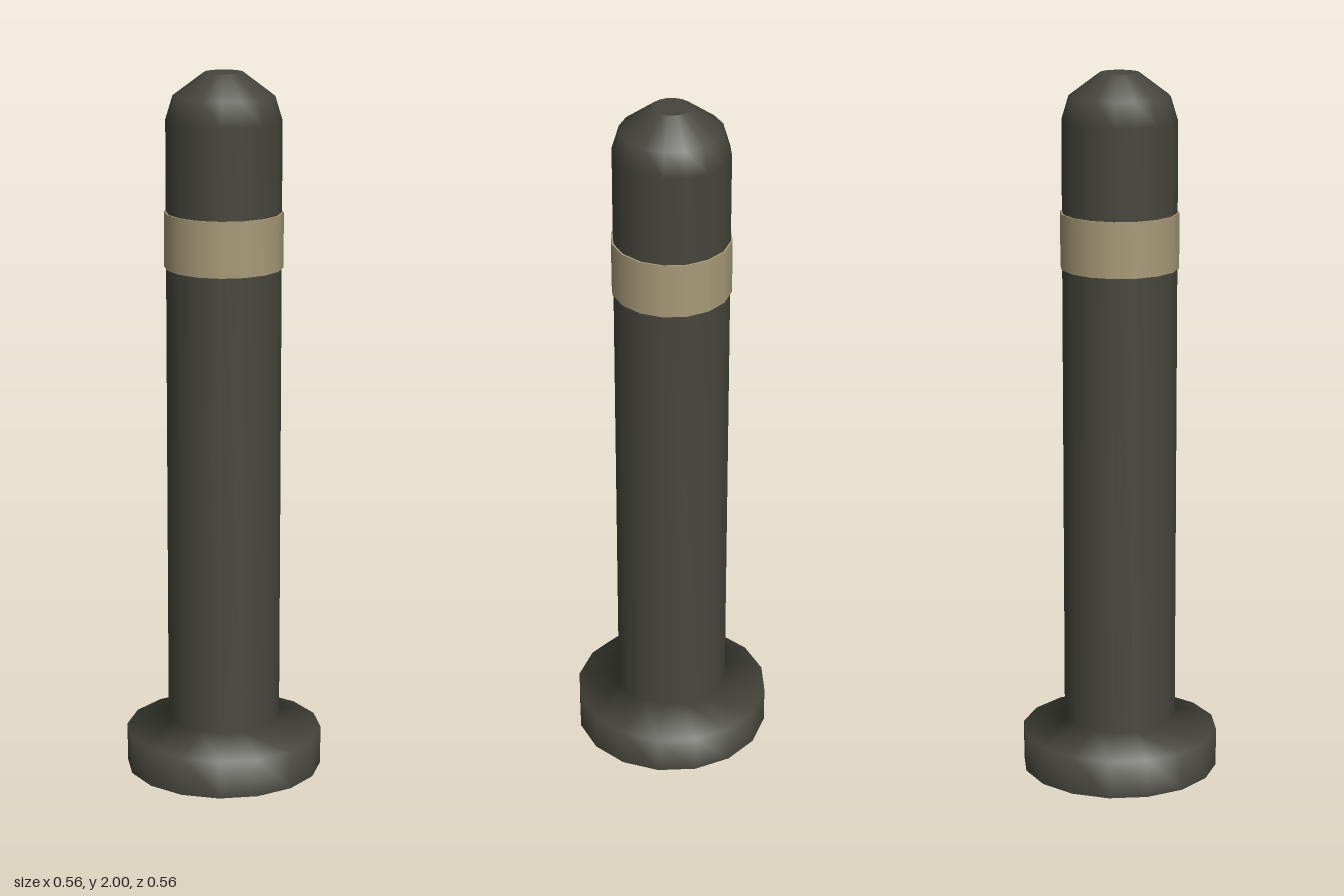
import * as THREE from 'three';

const SIDES = 16;

export function createModel() {
  const model = new THREE.Group();
  model.name = 'bollard';

  const darkMetal = new THREE.MeshStandardMaterial({ color: 0x45453c });
  darkMetal.name = 'dark metal';
  const tanBand = new THREE.MeshStandardMaterial({ color: 0xa89a78 });
  tanBand.name = 'tan band';

  const add = (name, geometry, material, y = 0) => {
    const mesh = new THREE.Mesh(geometry, material);
    mesh.name = name;
    mesh.position.y = y;
    model.add(mesh);
    return mesh;
  };

  // Foot flange, post and rounded head in one smooth turned profile
  const profile = [
    [0.28, 0], [0.28, 0.11], [0.16, 0.15],
    [0.16, 1.87], [0.14, 1.936], [0.054, 2],
  ].map(([r, y]) => new THREE.Vector2(r, y));
  add('post', new THREE.LatheGeometry(profile, SIDES), darkMetal);

  // Flat faces closing the head and the foot
  add('headCap', new THREE.CircleGeometry(0.054, SIDES).rotateX(-Math.PI / 2), darkMetal, 2);
  add('footUnderside', new THREE.CircleGeometry(0.28, SIDES).rotateX(Math.PI / 2), darkMetal);

  // Raised band around the upper post
  add('band', new THREE.CylinderGeometry(0.165, 0.165, 0.155, SIDES), tanBand, 1.54);

  return model;
}
